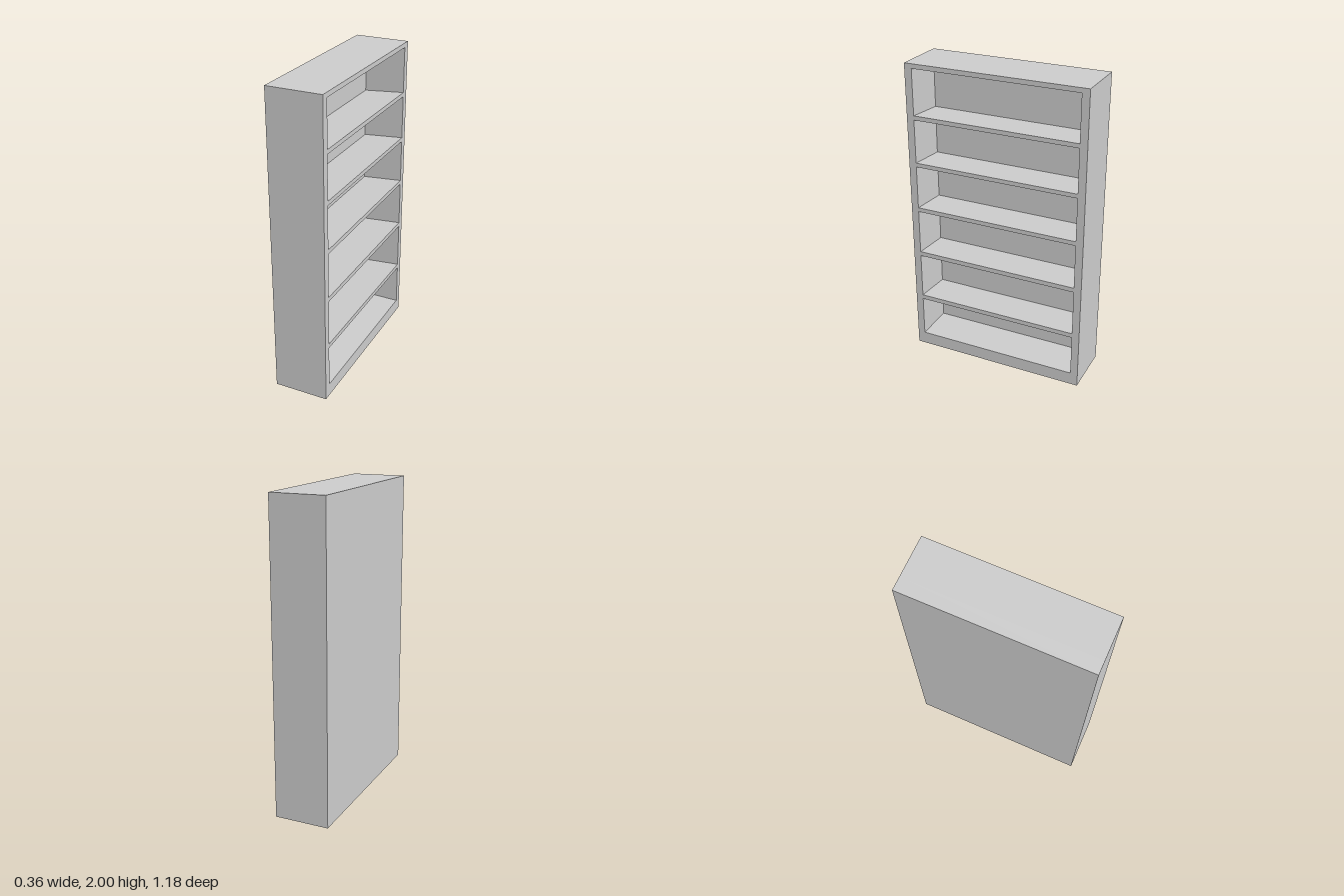
import * as THREE from 'three';

const HALF_X = 0.178, HALF_Z = 0.592, HEIGHT = 2; // outer size
const INNER_Z = 0.543, FLOOR = 0.085, CEILING = 1.97; // opening
const BACK_X = -0.09; // inner face of the back panel
const DROP = 0.022; // fall of each shelf top towards the back

// underside and front top edge of each shelf
const SHELVES = [[0.36, 0.39], [0.695, 0.725], [1.02, 1.048], [1.333, 1.36], [1.645, 1.673]];

function rectangle(PathType, halfWidth, y0, y1) {
  return new PathType([
    new THREE.Vector2(-halfWidth, y0),
    new THREE.Vector2(halfWidth, y0),
    new THREE.Vector2(halfWidth, y1),
    new THREE.Vector2(-halfWidth, y1),
  ]);
}

export function createModel() {
  const model = new THREE.Group();
  model.name = 'bookcase';
  const material = new THREE.MeshStandardMaterial({ color: 0xcccccc, flatShading: true });
  const add = (name, geometry) => {
    const mesh = new THREE.Mesh(geometry, material);
    mesh.name = name;
    model.add(mesh);
  };

  // surrounding frame, open towards +x
  const outline = rectangle(THREE.Shape, HALF_Z, 0, HEIGHT);
  outline.holes.push(rectangle(THREE.Path, INNER_Z, FLOOR, CEILING));
  const frame = new THREE.ExtrudeGeometry(outline, { depth: HALF_X - BACK_X, bevelEnabled: false });
  frame.rotateY(Math.PI / 2).translate(BACK_X, 0, 0);
  add('frame', frame);

  // solid back panel
  const thickness = BACK_X + HALF_X;
  const back = new THREE.BoxGeometry(thickness, HEIGHT, 2 * HALF_Z);
  back.translate(-HALF_X + thickness / 2, HEIGHT / 2, 0);
  add('backPanel', back);

  // shelves, slightly thinner at the back
  SHELVES.forEach(([under, top], i) => {
    const profile = new THREE.Shape([
      new THREE.Vector2(BACK_X, under),
      new THREE.Vector2(HALF_X, under),
      new THREE.Vector2(HALF_X, top),
      new THREE.Vector2(BACK_X, top - DROP),
    ]);
    const shelf = new THREE.ExtrudeGeometry(profile, { depth: 2 * INNER_Z, bevelEnabled: false });
    shelf.translate(0, 0, -INNER_Z);
    add(`shelf${i + 1}`, shelf);
  });

  return model;
}
